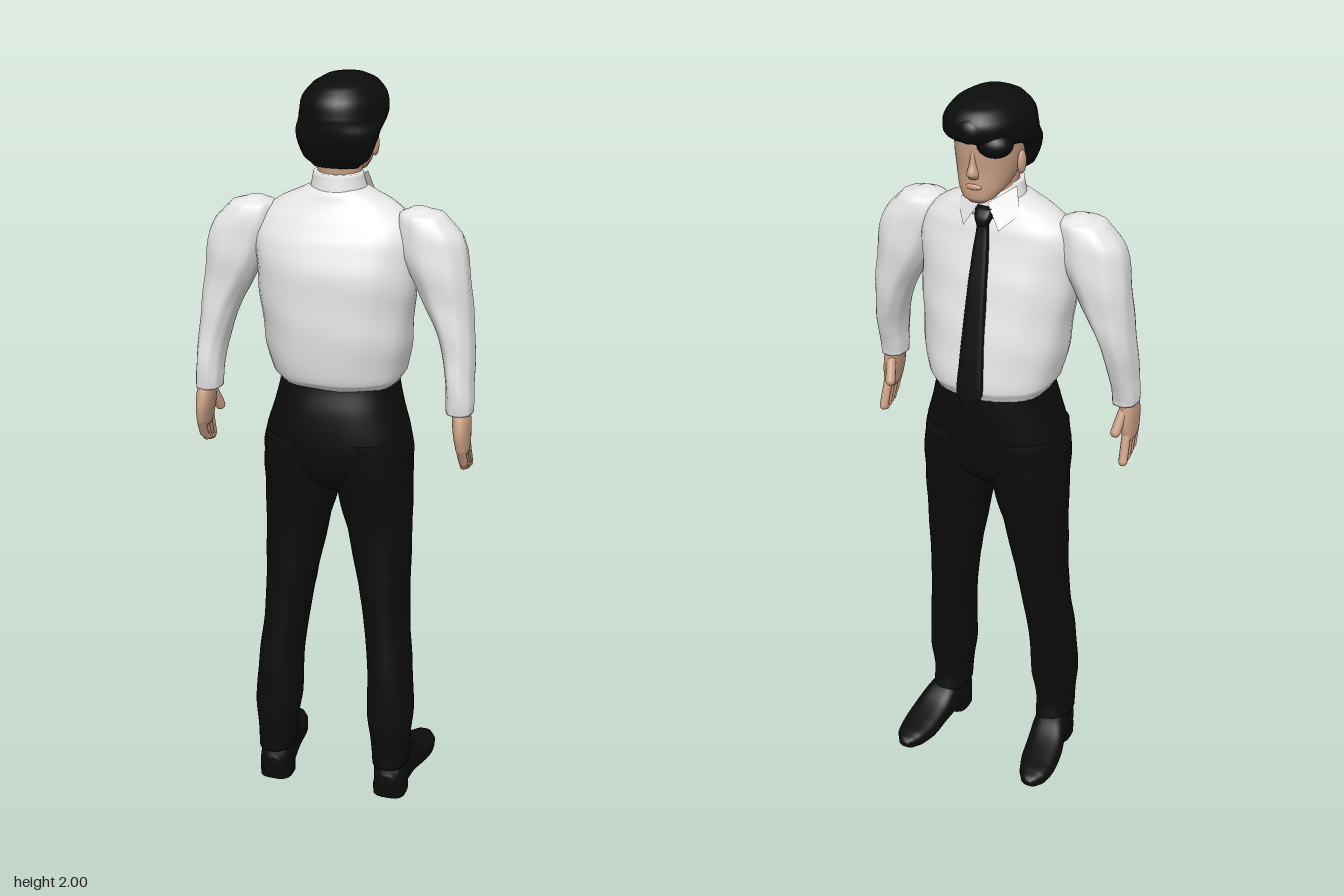
import * as THREE from 'three';

const mat = (name, color, side = THREE.FrontSide) => {
  const m = new THREE.MeshStandardMaterial({ color, side });
  m.name = name;
  return m;
};

// Smooth closed body through cross-sections [t, x0, x1, b0, b1].
// axis 'y': t is height and b is depth; axis 'z': t is depth and b is height.
function loft(sections, { axis = 'y', power = 2.3, folds = 0, steps = 5, sides = 36 } = {}) {
  const rows = [...sections].sort((a, b) => a[0] - b[0]);
  const rings = [];
  const cubic = (a, b, c, d, u) => {
    const m0 = (c - a) / 2, m1 = (d - b) / 2;
    return b + u * (m0 + u * (3 * (c - b) - 2 * m0 - m1 + u * (2 * (b - c) + m0 + m1)));
  };
  for (let i = 0; i < rows.length - 1; i++) {
    const [a, b, c, d] = [rows[Math.max(i - 1, 0)], rows[i], rows[i + 1], rows[Math.min(i + 2, rows.length - 1)]];
    for (let k = 0; k < steps; k++) {
      const u = k / steps;
      rings.push(b.map((v, n) => (n === 0 ? v + (c[0] - v) * u : cubic(a[n], v, c[n], d[n], u))));
    }
  }
  rings.push(rows[rows.length - 1]);

  const pos = [], idx = [];
  const put = (x, t, b) => (axis === 'y' ? pos.push(x, t, b) : pos.push(x, b, t));
  const tri = (a, b, c) => (axis === 'y' ? idx.push(a, b, c) : idx.push(a, c, b));
  const bend = (v) => Math.sign(v) * Math.abs(v) ** (2 / power);
  for (const [t, x0, x1, b0, b1] of rings) {
    for (let j = 0; j < sides; j++) {
      const q = (j / sides) * Math.PI * 2;
      const r = 1 + folds * Math.sin(3 * q + 26 * t) * Math.sin(5 * q - 17 * t);
      put((x0 + x1) / 2 + ((x1 - x0) / 2) * r * bend(Math.cos(q)), t,
        (b0 + b1) / 2 + ((b1 - b0) / 2) * r * bend(Math.sin(q)));
    }
  }
  for (let i = 0; i < rings.length - 1; i++) {
    for (let j = 0; j < sides; j++) {
      const a = i * sides + j, b = i * sides + ((j + 1) % sides);
      tri(a, a + sides, b);
      tri(b, a + sides, b + sides);
    }
  }
  // end caps
  [0, rings.length - 1].forEach((i) => {
    const [t, x0, x1, b0, b1] = rings[i];
    const c = pos.length / 3;
    put((x0 + x1) / 2, t, (b0 + b1) / 2);
    for (let j = 0; j < sides; j++) {
      const a = i * sides + j, b = i * sides + ((j + 1) % sides);
      if (i === 0) tri(c, a, b); else tri(c, b, a);
    }
  });
  const g = new THREE.BufferGeometry();
  g.setAttribute('position', new THREE.Float32BufferAttribute(pos, 3));
  g.setIndex(idx);
  g.computeVertexNormals();
  return g;
}

// Rounded finger between two points
function finger(a, b, r) {
  const p = new THREE.Vector3(...a), q = new THREE.Vector3(...b);
  const dir = q.clone().sub(p);
  const g = new THREE.CapsuleGeometry(r, dir.length(), 4, 10);
  g.applyQuaternion(new THREE.Quaternion().setFromUnitVectors(new THREE.Vector3(0, 1, 0), dir.normalize()));
  const m = p.add(q).multiplyScalar(0.5);
  return g.translate(m.x, m.y, m.z);
}

export function createModel() {
  const model = new THREE.Group();
  const black = mat('black cloth', 0x0c0c0c);
  const white = mat('white shirt', 0xebebeb, THREE.DoubleSide);
  const skin = mat('skin', 0xc99f85);
  const add = (name, geometry, material, parent = model) => {
    const mesh = new THREE.Mesh(geometry, material);
    mesh.name = name;
    parent.add(mesh);
    return mesh;
  };
  const ball = (x, y, z, a, b, c) => new THREE.SphereGeometry(1, 24, 16).scale(a, b, c).translate(x, y, z);
  const even = (rows) => rows.map(([t, w, b0, b1]) => [t, -w, w, b0, b1]);

  // Shirt body
  add('shirtBody', loft(even([
    [1.205, 0.155, -0.12, 0.145], [1.235, 0.175, -0.133, 0.17], [1.32, 0.19, -0.126, 0.186],
    [1.42, 0.2, -0.108, 0.188], [1.52, 0.21, -0.086, 0.185], [1.6, 0.215, -0.064, 0.163],
    [1.65, 0.2, -0.05, 0.138], [1.69, 0.15, -0.035, 0.117], [1.72, 0.085, -0.027, 0.106],
    [1.735, 0.05, -0.01, 0.08],
  ]), { folds: 0.018 }), white);
  add('collar', loft(even([
    [1.68, 0.085, -0.048, 0.11], [1.72, 0.073, -0.038, 0.105], [1.762, 0.064, -0.02, 0.098],
  ]), { power: 2 }), white);

  // Trousers: seat, then legs below
  add('trouserSeat', loft(even([
    [1.225, 0.155, -0.11, 0.15], [1.15, 0.17, -0.112, 0.168], [1.06, 0.196, -0.106, 0.174],
    [1.0, 0.199, -0.095, 0.166], [0.95, 0.14, -0.08, 0.14], [0.91, 0.05, -0.04, 0.09],
  ])), black);

  // Head
  add('neck', loft(even([
    [1.68, 0.055, -0.02, 0.09], [1.74, 0.055, -0.03, 0.085], [1.82, 0.06, -0.045, 0.09],
  ]), { power: 2 }), skin);
  add('face', loft(even([
    [1.738, 0.022, -0.1, -0.065], [1.75, 0.042, -0.11, -0.03], [1.775, 0.061, -0.112, 0.03],
    [1.82, 0.075, -0.111, 0.085], [1.87, 0.081, -0.115, 0.1], [1.92, 0.08, -0.112, 0.1],
    [1.96, 0.055, -0.07, 0.07],
  ])), skin);
  add('nose', loft([
    [1.805, -0.013, 0.013, -0.12, -0.1], [1.818, -0.015, 0.015, -0.131, -0.095],
    [1.84, -0.009, 0.009, -0.123, -0.1], [1.875, -0.006, 0.006, -0.115, -0.1],
  ], { power: 2, sides: 16 }), skin);
  add('lips', ball(0, 1.783, -0.109, 0.022, 0.008, 0.007), skin);

  // Hair
  add('hair', loft([
    [1.778, -0.055, 0.06, 0.045, 0.09], [1.8, -0.082, 0.086, 0.02, 0.106], [1.84, -0.098, 0.103, 0.0, 0.126],
    [1.87, -0.104, 0.11, -0.03, 0.133], [1.892, -0.106, 0.112, -0.115, 0.135], [1.91, -0.106, 0.112, -0.142, 0.135],
    [1.945, -0.1, 0.105, -0.148, 0.128], [1.975, -0.075, 0.082, -0.125, 0.1], [1.992, -0.045, 0.052, -0.08, 0.06],
    [2.0, -0.012, 0.018, -0.025, 0.01],
  ], { power: 2.1 }), black);
  add('sweptFringe', ball(-0.048, 1.893, -0.09, 0.046, 0.034, 0.042), black);
  add('frontTuft', ball(0.0, 1.93, -0.13, 0.035, 0.032, 0.025), black);

  // Tie
  const tie = new THREE.Group();
  tie.name = 'tie';
  model.add(tie);
  add('tieBlade', loft(even([
    [1.675, 0.014, -0.065, -0.045], [1.6, 0.02, -0.082, -0.06], [1.5, 0.025, -0.105, -0.08],
    [1.4, 0.029, -0.124, -0.1], [1.3, 0.033, -0.141, -0.12], [1.23, 0.035, -0.151, -0.13],
    [1.205, 0.022, -0.153, -0.138], [1.187, 0.003, -0.154, -0.145],
  ]), { power: 4 }), black, tie);
  add('tieKnot', loft(even([
    [1.665, 0.014, -0.074, -0.04], [1.685, 0.022, -0.072, -0.03], [1.708, 0.024, -0.06, -0.03],
  ]), { power: 3 }), black, tie);

  for (const s of [1, -1]) {
    const side = s > 0 ? 'right' : 'left';
    const mirror = (rows) => (s > 0 ? rows : rows.map(([t, x0, x1, b0, b1]) => [t, -x1, -x0, b0, b1]));

    // Collar point
    const flap = new THREE.BufferGeometry();
    flap.setAttribute('position', new THREE.Float32BufferAttribute([
      s * 0.01, 1.722, -0.052, s * 0.066, 1.757, 0.0, s * 0.084, 1.692, -0.022, s * 0.048, 1.66, -0.07,
    ], 3));
    flap.setIndex(s > 0 ? [0, 1, 2, 0, 2, 3] : [0, 2, 1, 0, 3, 2]);
    flap.computeVertexNormals();
    add(side + 'CollarPoint', flap, white);

    // Sleeve and cuff
    add(side + 'Sleeve', loft(mirror([
      [1.687, 0.195, 0.235, 0.035, 0.075], [1.672, 0.165, 0.28, 0.0, 0.11], [1.62, 0.165, 0.326, -0.016, 0.127],
      [1.55, 0.185, 0.345, -0.02, 0.132], [1.47, 0.225, 0.352, -0.018, 0.131], [1.4, 0.262, 0.361, -0.01, 0.131],
      [1.32, 0.29, 0.368, 0.005, 0.135], [1.25, 0.302, 0.372, 0.03, 0.141], [1.2, 0.305, 0.375, 0.045, 0.143],
      [1.174, 0.307, 0.374, 0.05, 0.141],
    ]), { folds: 0.04 }), white);

    // Hand
    const hand = new THREE.Group();
    hand.name = side + 'Hand';
    model.add(hand);
    add('palm', loft(mirror([
      [1.2, 0.322, 0.362, 0.065, 0.13], [1.16, 0.325, 0.37, 0.06, 0.145], [1.12, 0.33, 0.371, 0.055, 0.152],
      [1.08, 0.337, 0.37, 0.06, 0.145], [1.065, 0.342, 0.367, 0.065, 0.135],
    ])), skin, hand);
    for (let i = 0; i < 4; i++) {
      const z = 0.134 - i * 0.021;
      add('finger', finger([s * 0.354, 1.085, z], [s * 0.357, 1.04 - i * 0.008, z - 0.025], 0.012), skin, hand);
      add('fingertip', finger([s * 0.357, 1.04 - i * 0.008, z - 0.025],
        [s * 0.355, 1.024 - i * 0.004, z - 0.04 + i * 0.008], 0.0105), skin, hand);
    }
    add('thumb', finger([s * 0.342, 1.15, 0.07], [s * 0.333, 1.1, 0.045], 0.014), skin, hand);

    // Ear
    add(side + 'Ear', ball(s * 0.082, 1.825, -0.008, 0.01, 0.03, 0.017), skin);

    // Trouser leg
    add(side + 'TrouserLeg', loft(mirror([
      [1.07, 0.0, 0.19, -0.098, 0.165], [0.98, -0.002, 0.2, -0.092, 0.16], [0.91, 0.002, 0.2, -0.083, 0.145],
      [0.8, 0.03, 0.2, -0.065, 0.131], [0.6, 0.07, 0.2, -0.045, 0.135], [0.5, 0.085, 0.205, -0.03, 0.14],
      [0.4, 0.097, 0.216, -0.014, 0.15], [0.25, 0.1, 0.226, 0.003, 0.156], [0.16, 0.114, 0.218, 0.014, 0.155],
      [0.1, 0.118, 0.217, 0.004, 0.154],
    ]), { folds: 0.015 }), black);

    // Shoe and heel
    add(side + 'Shoe', loft(mirror([
      [0.14, 0.15, 0.188, 0.015, 0.07], [0.128, 0.13, 0.207, 0.005, 0.1], [0.08, 0.12, 0.217, 0.005, 0.122],
      [0.02, 0.125, 0.226, 0.012, 0.118], [-0.04, 0.132, 0.24, 0.012, 0.085], [-0.1, 0.14, 0.244, 0.004, 0.066],
      [-0.15, 0.156, 0.238, 0.006, 0.056], [-0.178, 0.174, 0.221, 0.013, 0.047], [-0.188, 0.188, 0.207, 0.022, 0.037],
    ]), { axis: 'z', power: 2.8 }), black);
    add(side + 'Heel', loft(mirror([
      [0, 0.122, 0.215, 0.04, 0.136], [0.03, 0.122, 0.215, 0.04, 0.138],
    ]), { power: 3 }), black);
  }
  return model;
}
